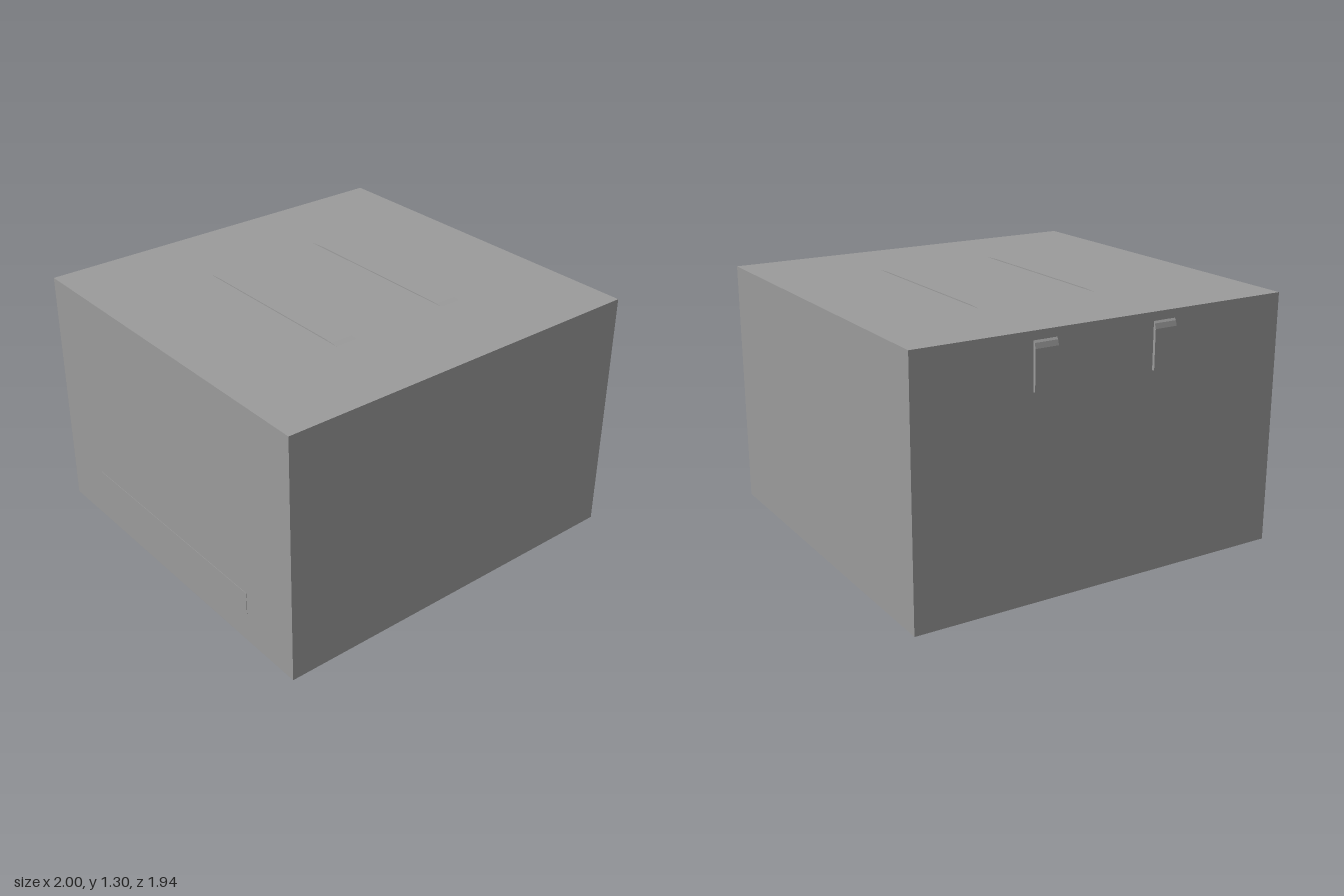
import * as THREE from 'three';

const material = new THREE.MeshStandardMaterial({ color: 0x9b9b9b, flatShading: true });

// Extrudes a 2D outline; the depth runs along +z before rotation.
function prism(points, depth) {
  const shape = new THREE.Shape(points.map(([x, y]) => new THREE.Vector2(x, y)));
  return new THREE.ExtrudeGeometry(shape, { depth, bevelEnabled: false });
}

export function createModel() {
  const group = new THREE.Group();
  const add = (name, geometry) => {
    const mesh = new THREE.Mesh(geometry, material);
    mesh.name = name;
    group.add(mesh);
  };

  const bottom = 0.011, top = 1.293, back = -0.957, front = 0.972;
  const left = 1, right = -0.998;

  // Main box
  add('body', new THREE.BoxGeometry(left - right, top - bottom, front - back)
    .translate((left + right) / 2, (top + bottom) / 2, (front + back) / 2));

  // Two straps on the lid, each continued by a clip on the back
  const strapWidth = 0.12;
  for (const x of [-0.305, 0.34]) {
    const strap = prism([
      [-0.5, top - 0.01], [0.5, top - 0.01], [0.5, top],
      [0.46, top + 0.003], [0.41, top + 0.005],
      [-0.41, top + 0.005], [-0.46, top + 0.003], [-0.5, top],
    ], strapWidth).rotateY(-Math.PI / 2).translate(x + strapWidth / 2, 0, 0);
    add('lidStrap', strap);

    const clip = prism([
      [back + 0.01, 1.02], [back + 0.01, 1.25], [back, 1.25],
      [back - 0.008, 1.24], [back - 0.015, 1.215], [back - 0.015, 1.02],
    ], strapWidth).rotateY(-Math.PI / 2).translate(x + strapWidth / 2, 0, 0);
    add('backClip', clip);
  }

  // Two foot pads with the outer corners cut off
  for (const side of [1, -1]) {
    const outline = [
      [-0.82, 0.285], [0.86, 0.285], [0.86, 0.72],
      [0.765, 0.82], [-0.73, 0.82], [-0.82, 0.72],
    ].map(([x, z]) => [x, z * side]);
    add(side > 0 ? 'frontFootPad' : 'backFootPad',
      prism(outline, bottom + 0.007).rotateX(Math.PI / 2).translate(0, bottom + 0.007, 0));
  }

  // Slim strip low on the right side
  add('sideStrip', new THREE.BoxGeometry(0.012, 0.12, 1.29).translate(-0.994, 0.23, -0.015));

  return group;
}
